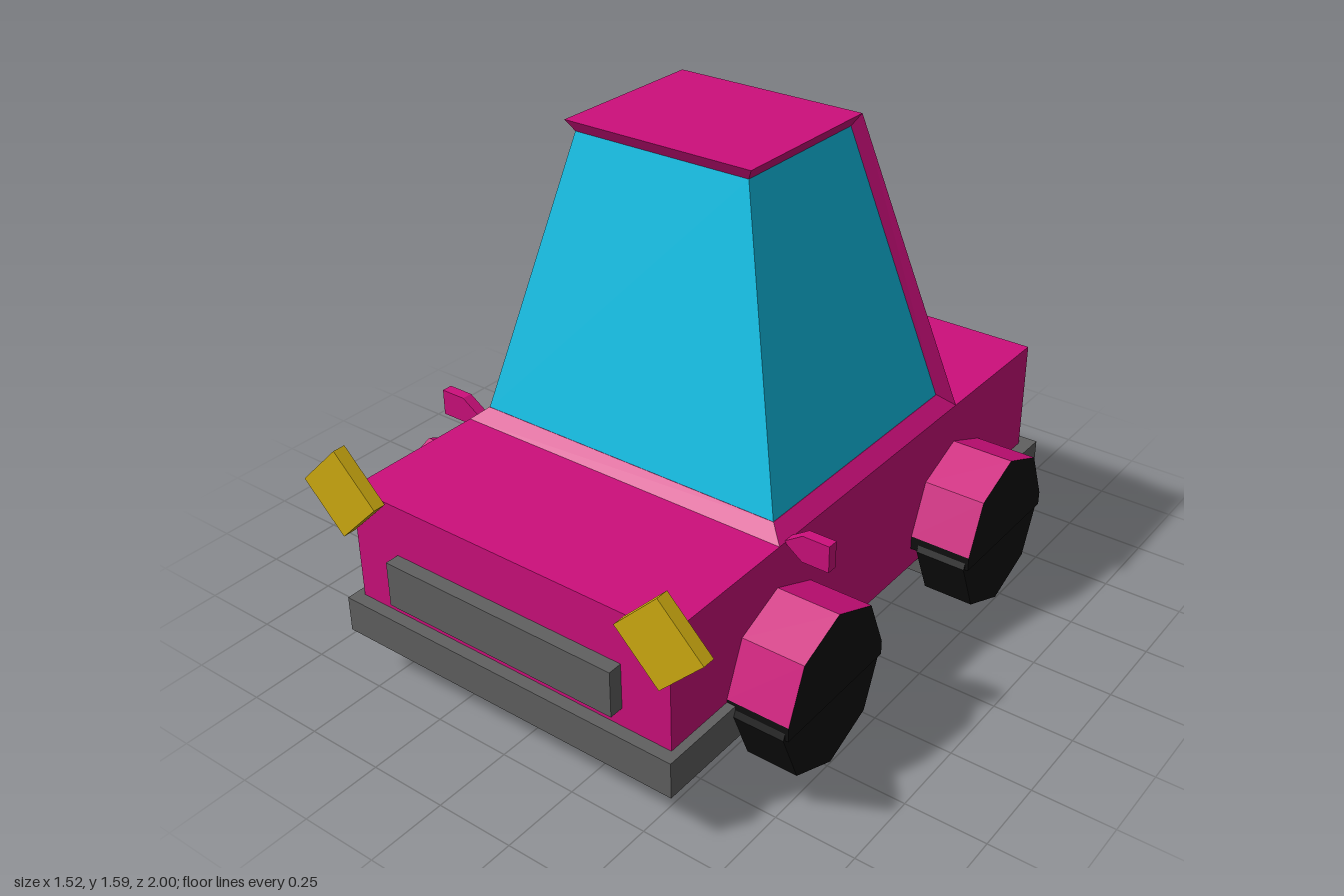
import * as THREE from 'three';

const paint = (name, color) => {
  const m = new THREE.MeshStandardMaterial({ color });
  m.name = name;
  return m;
};

// Six-sided block, symmetric in x. Each corner pair is [halfWidth, y, z].
function hexa(frontBottom, backBottom, frontTop, backTop) {
  const ring = (f, b) => [[-f[0], f[1], f[2]], f, b, [-b[0], b[1], b[2]]];
  const corners = [...ring(frontBottom, backBottom), ...ring(frontTop, backTop)];
  const faces = [[0, 1, 5, 4], [1, 2, 6, 5], [2, 3, 7, 6], [3, 0, 4, 7], [4, 5, 6, 7], [3, 2, 1, 0]];
  const pos = [];
  for (const [a, b, c, d] of faces) for (const i of [a, b, c, a, c, d]) pos.push(...corners[i]);
  const g = new THREE.BufferGeometry();
  g.setAttribute('position', new THREE.Float32BufferAttribute(pos, 3));
  g.computeVertexNormals();
  return g;
}

// Box given by its limits on each axis
function block(x0, x1, y0, y1, z0, z1) {
  return new THREE.BoxGeometry(x1 - x0, y1 - y0, z1 - z0)
    .translate((x0 + x1) / 2, (y0 + y1) / 2, (z0 + z1) / 2);
}

// Flat polygon extruded from z = 0 to z = depth
function prism(points, depth) {
  const shape = new THREE.Shape(points.map(([x, y]) => new THREE.Vector2(x, y)));
  return new THREE.ExtrudeGeometry(shape, { depth, bevelEnabled: false });
}

export function createModel() {
  const magenta = paint('magenta paint', 0xcc0f7b);
  const blue = paint('blue glass', 0x12c5ec);
  const grey = paint('grey trim', 0x606060);
  const yellow = paint('yellow lamp', 0xd0ad11);
  const red = paint('red lamp', 0x8c1010);
  const black = paint('black rubber', 0x0f0f0f);

  const model = new THREE.Group();
  model.name = 'car';
  const shell = new THREE.Group();
  shell.name = 'shell';
  shell.position.x = -0.008;
  model.add(shell);
  const add = (parent, name, geometry, material) => {
    const mesh = new THREE.Mesh(geometry, material);
    mesh.name = name;
    parent.add(mesh);
    return mesh;
  };

  // Lower body and trim
  add(shell, 'body', block(-0.567, 0.567, 0.17, 0.64, -0.945, 0.95), magenta);
  add(shell, 'frontBumper', block(-0.595, 0.595, 0.155, 0.27, 0.3, 0.99), grey);
  add(shell, 'rearBumper', block(-0.61, 0.61, 0.115, 0.275, -0.99, -0.3), grey);
  add(shell, 'grille', block(-0.405, 0.405, 0.33, 0.475, 0.94, 0.995), grey);

  // Cabin: sill, glass core, rear panel and flared roof
  add(shell, 'cabinSill', hexa([0.567, 0.64, 0.475], [0.567, 0.64, -0.47],
    [0.52, 0.68, 0.437], [0.52, 0.68, -0.43]), magenta);
  add(shell, 'windows', hexa([0.52, 0.675, 0.437], [0.52, 0.675, -0.43],
    [0.295, 1.55, 0.25], [0.295, 1.55, -0.24]), blue);
  add(shell, 'rearPanel', hexa([0.52, 0.67, -0.428], [0.567, 0.64, -0.47],
    [0.295, 1.55, -0.238], [0.316, 1.585, -0.262]), magenta);
  add(shell, 'roof', hexa([0.295, 1.55, 0.25], [0.295, 1.55, -0.24],
    [0.316, 1.585, 0.27], [0.316, 1.585, -0.262]), magenta);

  // Upper half of an octagon for the fenders
  const arch = [0, 1, 2, 3, 4].map((i) => {
    const a = (i * Math.PI) / 4;
    return [0.23 * Math.cos(a), 0.28 + 0.23 * Math.sin(a)];
  });

  for (const [side, s] of [['left', 1], ['right', -1]]) {
    // Lamps
    add(shell, side + 'Headlight', new THREE.BoxGeometry(0.2, 0.2, 0.04)
      .rotateZ(Math.PI / 4).translate(s * 0.568, 0.64, 0.978), yellow);
    add(shell, side + 'TailLight',
      new THREE.BoxGeometry(0.13, 0.14, 0.065).translate(s * 0.475, 0.405, -0.9675), red);

    // Pointed door mirror
    const mirror = [[0.56, 0.64], [0.62, 0.68], [0.705, 0.68], [0.705, 0.597], [0.62, 0.597]]
      .map(([x, y]) => [s * x, y]);
    add(shell, side + 'Mirror', prism(mirror, 0.034).translate(0, 0, 0.412), magenta);

    for (const [end, z] of [['Front', 0.48], ['Rear', -0.475]]) {
      // Eight-sided wheel
      const wheel = add(model, side + end + 'Wheel',
        new THREE.CylinderGeometry(0.238, 0.238, 0.163, 8).toNonIndexed(), black);
      wheel.geometry.rotateZ(Math.PI / 2).computeVertexNormals();
      wheel.position.set(s * 0.666, 0.238, z);

      // Fender with dark side face and dark lower lip
      const fender = add(model, side + end + 'Fender',
        prism(arch, 0.2).rotateY(Math.PI / 2), [black, magenta]);
      fender.position.set(s > 0 ? 0.558 : -0.758, 0, z);
      add(model, side + end + 'FenderLip',
        new THREE.BoxGeometry(0.2, 0.045, 0.46).translate(s * 0.658, 0.2575, z), black);
    }
  }
  return model;
}
